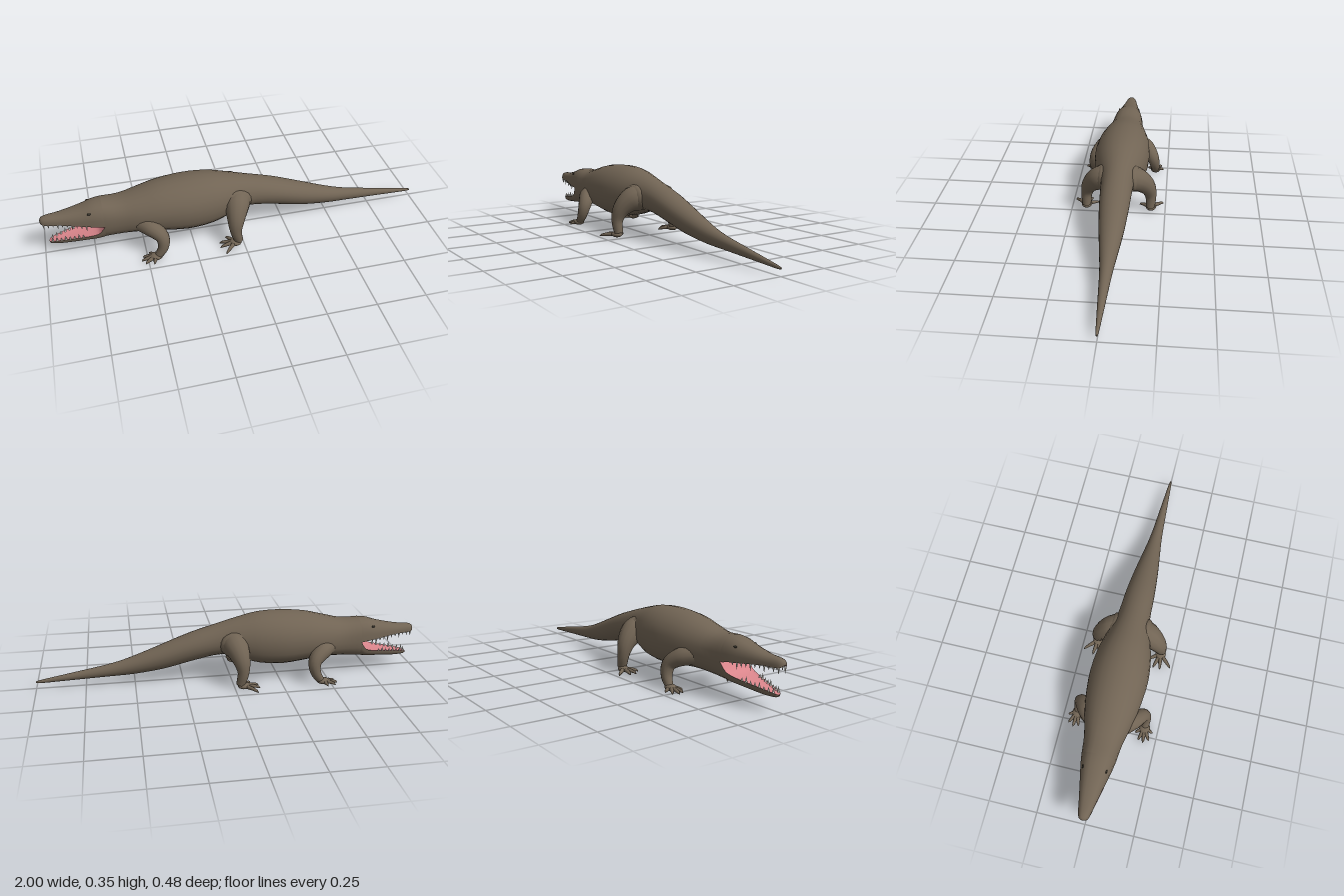
import * as THREE from 'three';
import { mergeVertices, mergeGeometries } from 'three/addons/utils/BufferGeometryUtils.js';

// Cross-sections: [x, top, middle, bottom, half width]
const BODY = [
  [-0.69, 0.287, 0.176, 0.08, 0.087], [-0.6, 0.286, 0.18, 0.09, 0.098], [-0.5, 0.31, 0.19, 0.096, 0.122],
  [-0.4, 0.335, 0.2, 0.088, 0.14], [-0.27, 0.348, 0.2, 0.075, 0.15], [-0.15, 0.345, 0.2, 0.084, 0.138],
  [-0.05, 0.325, 0.205, 0.112, 0.112], [0.05, 0.299, 0.21, 0.136, 0.086], [0.2, 0.255, 0.185, 0.106, 0.077],
  [0.35, 0.2, 0.14, 0.07, 0.064], [0.5, 0.145, 0.1, 0.05, 0.045], [0.62, 0.111, 0.078, 0.044, 0.031],
  [0.8, 0.078, 0.058, 0.037, 0.019], [0.98, 0.046, 0.038, 0.03, 0.007], [1, 0.037, 0.036, 0.035, 0.001],
];
const UPPER = [
  [-1, 0.212, 0.21, 0.21, 0.002], [-0.992, 0.228, 0.2, 0.2, 0.02], [-0.965, 0.236, 0.196, 0.196, 0.031],
  [-0.9, 0.241, 0.196, 0.196, 0.044], [-0.8, 0.262, 0.186, 0.186, 0.066], [-0.74, 0.281, 0.181, 0.181, 0.079],
  [-0.69, 0.287, 0.176, 0.176, 0.087],
];
const LOWER = [
  [-0.97, 0.076, 0.076, 0.074, 0.002], [-0.96, 0.083, 0.083, 0.064, 0.018], [-0.9, 0.094, 0.094, 0.062, 0.036],
  [-0.8, 0.11, 0.11, 0.071, 0.059], [-0.735, 0.125, 0.125, 0.077, 0.074], [-0.71, 0.145, 0.145, 0.079, 0.081],
  [-0.69, 0.176, 0.176, 0.08, 0.087],
];

// Smoothly subdivide a list of cross-sections
function refine(rows, steps) {
  const out = [];
  const at = (i) => rows[Math.max(0, Math.min(rows.length - 1, i))];
  for (let i = 0; i < rows.length - 1; i++) {
    for (let s = 0; s < steps; s++) {
      const t = s / steps;
      out.push(rows[i].map((b, k) => {
        const a = at(i - 1)[k], c = at(i + 1)[k], d = at(i + 2)[k];
        return b + 0.5 * t * (c - a + t * (2 * a - 5 * b + 4 * c - d + t * (3 * (b - c) + d - a)));
      }));
    }
  }
  out.push(rows[rows.length - 1]);
  return out;
}

// Surface through rows of points; rows run along +x
function skinRows(rows, flip) {
  const n = rows[0].length, index = [];
  for (let i = 0; i < rows.length - 1; i++) {
    for (let j = 0; j < n - 1; j++) {
      const a = i * n + j, b = a + n;
      if (flip) index.push(a, a + 1, b, b, a + 1, b + 1);
      else index.push(a, b, a + 1, b, b + 1, a + 1);
    }
  }
  const g = new THREE.BufferGeometry();
  g.setAttribute('position', new THREE.Float32BufferAttribute(rows.flat(2), 3));
  g.setIndex(index);
  const m = mergeVertices(g, 1e-5);
  m.computeVertexNormals();
  return m;
}

// Rounded hull over an angle range of each cross-section; the belly is squarer than the back
function hull(rings, from, to, segs) {
  const { lerp, smoothstep } = THREE.MathUtils;
  return skinRows(rings.map(([x, top, mid, bottom, w]) => {
    const back = lerp(0.82, 1, smoothstep(x, -0.7, -0.4)), belly = lerp(0.82, 1, smoothstep(x, -0.1, 0.2));
    return Array.from({ length: segs + 1 }, (_, j) => {
      const a = from + (to - from) * j / segs, c = Math.cos(a), s = Math.sin(a);
      const h = s > 0 ? top - mid : mid - bottom, e = s > 0 ? back : belly;
      return [x, mid + h * Math.sign(s) * Math.abs(s) ** e, w * Math.sign(c) * Math.abs(c) ** e];
    });
  }));
}

// Dished mouth lining between the two lips
function lining(rings, dip, flip) {
  return skinRows(rings.map(([x, , mid, , w]) =>
    [1, 0.8, 0, -0.8, -1].map((k) => [x, mid + (Math.abs(k) < 1 ? dip * Math.min(1, w / 0.04) : 0), k * w])), flip);
}

// Tapering tube through points [x, y, z, radius]
function limb(points, along, around) {
  const curve = new THREE.CatmullRomCurve3(points.map((p) => new THREE.Vector3(p[0], p[1], p[2])));
  const g = new THREE.TubeGeometry(curve, along, 1, around);
  const pos = g.attributes.position, v = new THREE.Vector3();
  for (let i = 0; i < pos.count; i++) {
    const u = Math.floor(i / (around + 1)) / along;
    const f = curve.getUtoTmapping(u) * (points.length - 1);
    const k = Math.min(points.length - 2, Math.floor(f));
    const c = curve.getPointAt(u);
    v.fromBufferAttribute(pos, i).sub(c);
    v.multiplyScalar(THREE.MathUtils.lerp(points[k][3], points[k + 1][3], f - k)).add(c);
    pos.setXYZ(i, v.x, v.y, v.z);
  }
  g.deleteAttribute('normal');
  g.deleteAttribute('uv');
  const m = mergeVertices(g, 1e-5);
  m.computeVertexNormals();
  return m;
}

// Row of teeth on both sides of a jaw; dir is +1 up, -1 down
function teeth(rings, count, x0, x1, size, dir) {
  const list = [];
  for (let i = 0; i < count; i++) {
    const x = x0 + (x1 - x0) * i / (count - 1);
    const k = Math.max(1, rings.findIndex((r) => r[0] >= x));
    const a = rings[k - 1], b = rings[k], t = (x - a[0]) / (b[0] - a[0]);
    const y = THREE.MathUtils.lerp(a[2], b[2], t), w = THREE.MathUtils.lerp(a[4], b[4], t);
    const len = size * (1 + 0.35 * Math.sin(i * 2.2 + 1));
    for (const s of [1, -1]) {
      const cone = new THREE.ConeGeometry(0.006, len, 6);
      if (dir < 0) cone.rotateX(Math.PI);
      cone.translate(x, y + dir * (len / 2 - 0.004), s * (w - 0.006));
      list.push(cone);
    }
  }
  return mergeGeometries(list);
}

export function createModel() {
  const model = new THREE.Group();
  const mat = (name, color, side = THREE.FrontSide) => {
    const m = new THREE.MeshStandardMaterial({ color, side });
    m.name = name;
    return m;
  };
  const skin = mat('skin', 0x716454, THREE.DoubleSide);
  const pink = mat('mouthPink', 0xdb868c, THREE.DoubleSide);
  const ivory = mat('toothIvory', 0xeeeae0);
  const dark = mat('eyeDark', 0x35322a);
  const add = (name, geometry, material, parent = model) => {
    const mesh = new THREE.Mesh(geometry, material);
    mesh.name = name;
    parent.add(mesh);
  };
  const ball = (name, material, p, r, parent) => {
    const g = new THREE.SphereGeometry(1, 14, 10).scale(...r).translate(...p);
    add(name, g, material, parent);
  };

  // Trunk with tail, and the open jaws
  const upper = refine(UPPER, 3), lower = refine(LOWER, 3);
  add('bodyAndTail', hull(refine(BODY, 3), 0, Math.PI * 2, 24), skin);
  add('upperJaw', hull(upper, 0, Math.PI, 12), skin);
  add('lowerJaw', hull(lower, -Math.PI, 0, 12), skin);
  add('palate', lining(upper, 0.008, true), pink);
  add('mouthFloor', lining(lower, -0.006, false), pink);
  add('upperTeeth', teeth(upper, 11, -0.983, -0.755, 0.027, -1), ivory);
  add('lowerTeeth', teeth(lower, 8, -0.953, -0.8, 0.023, 1), ivory);

  const legs = {
    FrontLeg: {
      path: [[-0.525, 0.165, 0.06, 0.045], [-0.465, 0.157, 0.122, 0.045], [-0.418, 0.118, 0.162, 0.035],
        [-0.42, 0.065, 0.177, 0.027], [-0.445, 0.022, 0.18, 0.02]],
      foot: [-0.458, 0.017, 0.18],
      toes: [[-0.49, 0.137], [-0.525, 0.16], [-0.534, 0.187], [-0.518, 0.214], [-0.475, 0.225]],
    },
    HindLeg: {
      path: [[0, 0.205, 0.025, 0.07], [-0.018, 0.197, 0.095, 0.066], [-0.036, 0.148, 0.15, 0.046],
        [-0.042, 0.09, 0.171, 0.03], [-0.028, 0.024, 0.171, 0.023]],
      foot: [-0.045, 0.017, 0.173],
      toes: [[-0.085, 0.111], [-0.124, 0.148], [-0.127, 0.185], [-0.108, 0.239]],
    },
  };
  for (const s of [1, -1]) {
    const side = s > 0 ? 'left' : 'right';
    ball(side + 'Eye', dark, [-0.757, 0.25, s * 0.058], [0.01, 0.006, 0.005]);

    for (const [name, { path, foot, toes }] of Object.entries(legs)) {
      const leg = new THREE.Group();
      leg.name = side + name;
      model.add(leg);
      add('limb', limb(path.map(([x, y, z, r]) => [x, y, s * z, r]), 18, 14), skin, leg);
      ball('foot', skin, [foot[0], foot[1], s * foot[2]], [0.033, 0.016, 0.028], leg);
      // Splayed toes ending in points
      for (const [x, z] of toes) {
        const mx = (foot[0] + x) / 2, mz = (foot[2] + z) / 2;
        add('toe', limb([[foot[0], 0.016, s * foot[2], 0.012], [mx, 0.015, s * mz, 0.01],
          [x * 0.8 + mx * 0.2, 0.009, s * (z * 0.8 + mz * 0.2), 0.006], [x, 0.003, s * z, 0.001]], 8, 8), skin, leg);
      }
    }
    // Muscle easing the thigh into the flank
    ball(side + 'Hip', skin, [-0.02, 0.205, s * 0.078], [0.085, 0.068, 0.042]);
  }
  return model;
}
